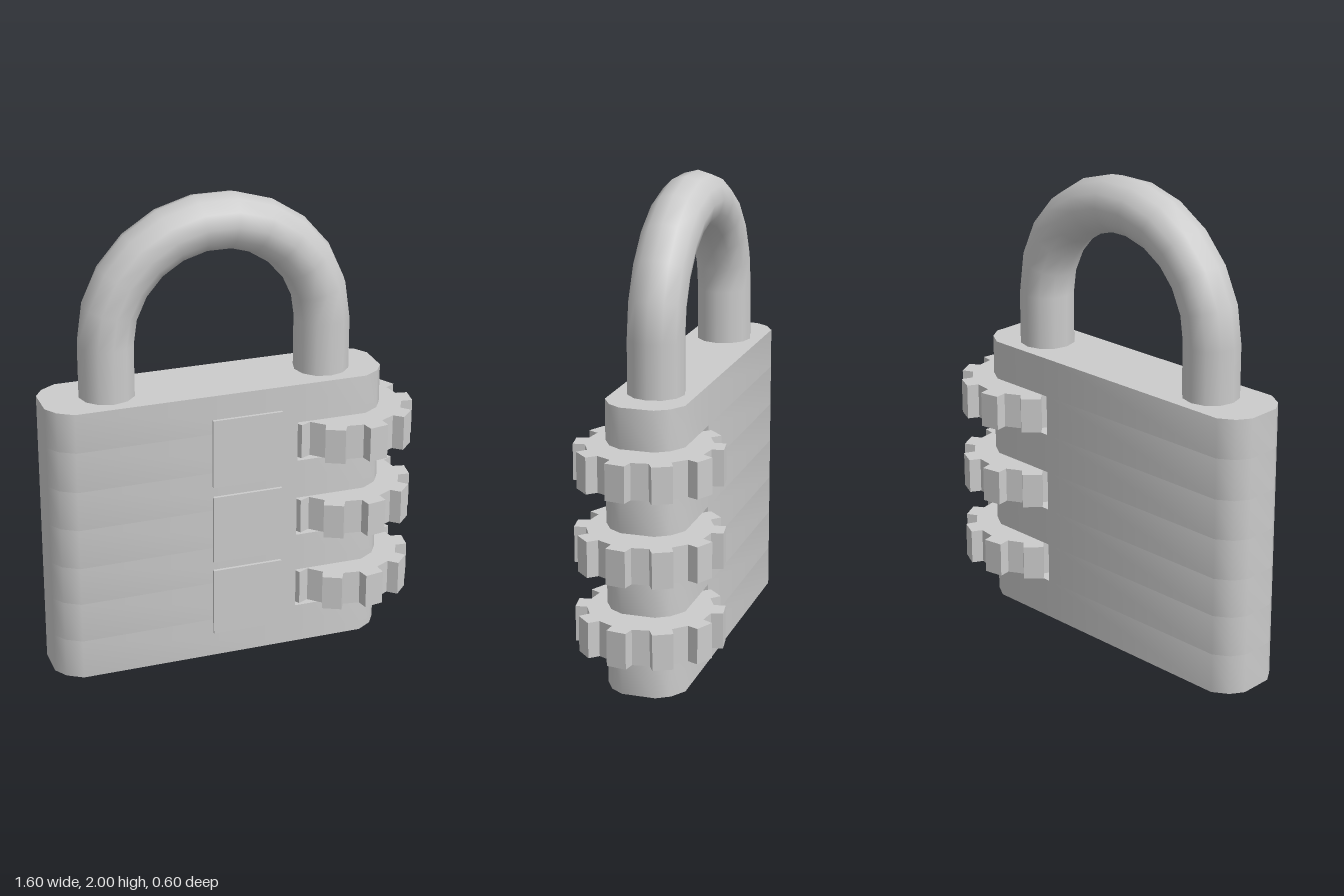
import * as THREE from 'three';
import { toCreasedNormals } from 'three/addons/utils/BufferGeometryUtils.js';

const material = new THREE.MeshStandardMaterial({ color: 0xcccccc });
const MID_Z = 0.005;
const DIAL_Y = [0.26, 0.60, 0.945];

function addMesh(parent, geometry, name) {
  const mesh = new THREE.Mesh(geometry, material);
  mesh.name = name;
  parent.add(mesh);
  return mesh;
}

// Extrude a plan outline (x, -z) upwards from y0 to y1
function slab(points, y0, y1) {
  const shape = new THREE.Shape(points.map(([x, y]) => new THREE.Vector2(x, y)));
  const geometry = new THREE.ExtrudeGeometry(shape, { depth: y1 - y0, bevelEnabled: false });
  return geometry.rotateX(-Math.PI / 2).translate(0, y0, 0);
}

// Body outline: half of each end, mirrored front to back
function bodyOutline(slotted) {
  const half = [[-0.8, 0.07], [-0.765, 0.125], [-0.7, 0.165], [0.24, 0.165]];
  if (!slotted) half.push([0.54, 0.165], [0.605, 0.125], [0.64, 0.07]);
  const back = half.map(([x, y]) => [x, y - MID_Z]).reverse();
  const front = half.map(([x, y]) => [x, -y - MID_Z]);
  return [...front, ...back];
}

// Ten-toothed dial outline
function dialOutline() {
  const points = [];
  const corners = [[-10, 0.254], [-8, 0.302], [8, 0.302], [10, 0.254]];
  for (let i = 0; i < 10; i++) {
    for (const [offset, r] of corners) {
      const a = THREE.MathUtils.degToRad(28 + i * 36 + offset);
      points.push([0.5 + r * Math.cos(a), r * Math.sin(a)]);
    }
  }
  return points;
}

// Bend an open cylinder into two straight legs joined by a half ring
function shackleGeometry() {
  const arcSegments = 11, rows = arcSegments + 2;
  const bend = 0.4625, springY = 1.4225, footY = 1.15, centreX = -0.062;
  const geometry = new THREE.CylinderGeometry(0.117, 0.117, 1, 12, rows, true);
  const p = geometry.attributes.position, n = geometry.attributes.normal;
  for (let i = 0; i < p.count; i++) {
    const row = Math.round((p.getY(i) + 0.5) * rows);
    const a = THREE.MathUtils.clamp((row - 1) / arcSegments, 0, 1) * Math.PI;
    const isFoot = row === 0 || row === rows;
    const r = bend + p.getX(i);
    p.setXYZ(i, centreX + r * Math.cos(a),
      isFoot ? footY : springY + r * Math.sin(a), p.getZ(i) + MID_Z);
    n.setXYZ(i, n.getX(i) * Math.cos(a), n.getX(i) * Math.sin(a), n.getZ(i));
  }
  return geometry;
}

export function createModel() {
  const model = new THREE.Group();
  model.name = 'combinationPadlock';

  // Body stacked from full layers and layers cut back for the dials
  const body = new THREE.Group();
  body.name = 'body';
  model.add(body);
  const levels = [0, ...DIAL_Y.flatMap(y => [y - 0.087, y + 0.087]), 1.2];
  for (let i = 0; i < levels.length - 1; i++) {
    const slotted = i % 2 === 1;
    const layer = slab(bodyOutline(slotted), levels[i], levels[i + 1]);
    addMesh(body, toCreasedNormals(layer, 0.8), slotted ? 'slotLayer' : 'fullLayer');
  }

  // Toothed dials and the square windows beside them
  DIAL_Y.forEach((y, i) => {
    addMesh(model, slab(dialOutline(), y - 0.075, y + 0.075), `dial${i + 1}`);
    const panel = addMesh(model, new THREE.BoxGeometry(0.3, 0.3, 0.03), `window${i + 1}`);
    panel.position.set(0.02, y, 0.168);
  });

  addMesh(model, shackleGeometry(), 'shackle');
  return model;
}
